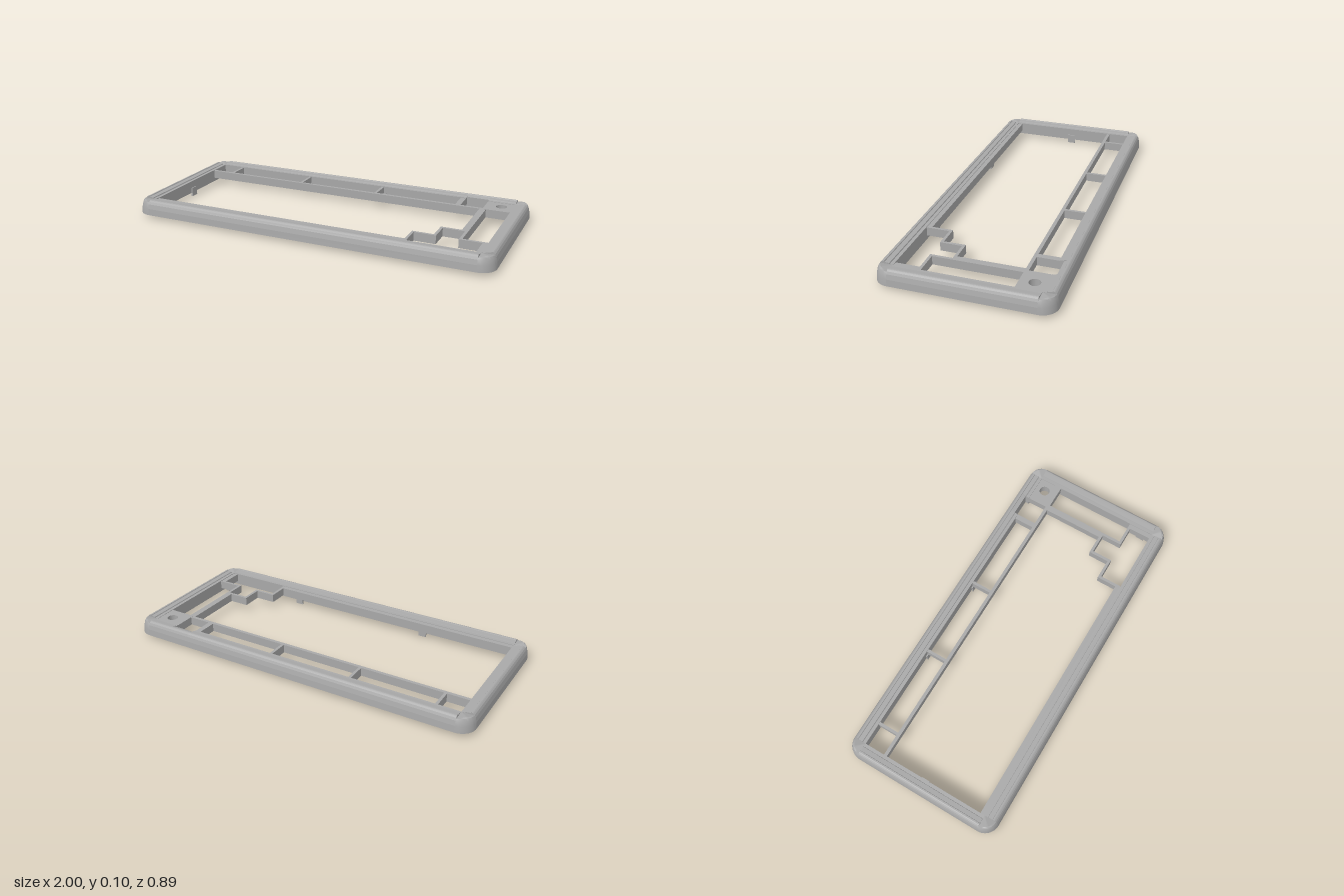
import * as THREE from 'three';
import { toCreasedNormals } from 'three/addons/utils/BufferGeometryUtils.js';

const HZ = 0.443, R = 0.08;            // half depth, rail width and corner radius
const CX = 1 - R, CZ = HZ - R;         // inner corners of the frame

// rail section: [inset from the outer face, height]
const wall = [[0, 0.02], [0.003, 0.055], [0.009, 0.08], [0.015, 0.092], [0.022, 0.098]];
const crown = [[0.026, 0.1], [0.034, 0.1], [0.036, 0.096], [0.06, 0.094], [0.062, 0.089]];

export function createModel() {
  const model = new THREE.Group();
  const grey = new THREE.MeshStandardMaterial({ color: 0xa8a8a8 });
  grey.name = 'case grey';

  const add = (name, geometry) => {
    const mesh = new THREE.Mesh(geometry, grey);
    mesh.name = name;
    model.add(mesh);
    return mesh;
  };
  const block = (name, x0, x1, y0, y1, z0, z1) =>
    add(name, new THREE.BoxGeometry(x1 - x0, y1 - y0, z1 - z0))
      .position.set((x0 + x1) / 2, (y0 + y1) / 2, (z0 + z1) / 2);

  // straight rails, extruded along their length
  const rail = (name, length, turn, x, z, width = R) => {
    const pts = [...wall, ...crown].filter(p => p[0] < width);
    pts.push([width, 0.089], [width, 0.02]);
    const shape = new THREE.Shape(pts.map(p => new THREE.Vector2(p[0], p[1])));
    const geo = new THREE.ExtrudeGeometry(shape, { depth: length, bevelEnabled: false });
    geo.translate(0, 0, -length / 2);
    const mesh = add(name, geo);
    mesh.rotation.y = turn;
    mesh.position.set(x, 0, z);
  };
  rail('leftRail', 2 * CZ, Math.PI, 1, 0);
  rail('rightRail', 2 * CZ, 0, -1, 0);
  rail('frontRail', 2 * CX, Math.PI / 2, 0, HZ);
  // back rail, thinner at the cable notch
  [[-CX, 0.645, R], [0.645, 0.77, 0.058], [0.77, CX, R]].forEach(([a, b, w]) =>
    rail('backRail', b - a, -Math.PI / 2, (a + b) / 2, -HZ, w));

  // rounded corners whose top dips towards both rails
  const dip = t => (t < 0.03 ? 0.1 : 0.1 - (t - 0.03) * 0.24);
  const cornerPts = [[R, 0.02], ...wall, [0.026, 0.1], [0.034, 0.1], [0.05, 0.1], [0.065, 0.1], [R, 0.1]]
    .map(p => new THREE.Vector2(R - p[0], p[1]));
  for (let i = 0; i < 4; i++) {
    const geo = new THREE.LatheGeometry(cornerPts, 12, i * Math.PI / 2, Math.PI / 2);
    const p = geo.attributes.position;
    for (let k = 0; k < p.count; k++) {
      p.setY(k, Math.min(p.getY(k), dip(R - Math.abs(p.getX(k))), dip(R - Math.abs(p.getZ(k)))));
    }
    const sx = i < 2 ? 1 : -1, sz = i === 0 || i === 3 ? 1 : -1;
    add('corner', toCreasedNormals(geo, 0.5)).position.set(sx * CX, 0, sz * CZ);
  }

  // inner ribs between the key openings: x0, x1, z0, z1
  const ribs = [
    [-0.925, 0.79, -0.25, -0.232],
    [-0.8, -0.785, -0.37, -0.24],
    [-0.33, -0.315, -0.37, -0.24],
    [0.14, 0.155, -0.37, -0.24],
    [0.615, 0.645, -0.37, -0.24],
    [0.755, 0.79, -0.24, 0.125],
    [0.645, 0.79, 0.11, 0.125],
    [0.645, 0.66, 0.11, 0.24],
    [0.775, 0.79, 0.11, 0.24],
    [0.53, 0.66, 0.225, 0.24],
    [0.53, 0.545, 0.225, 0.365],
    [0.775, 0.925, 0.225, 0.24],
    [0.893, 0.925, 0.23, 0.365],
    [-0.925, 0.545, 0.337, 0.365],
  ];
  ribs.forEach(([x0, x1, z0, z1]) => block('rib', x0, x1, 0.04, 0.086, z0, z1));

  // corner plate with the knob hole (shape y runs along -z)
  const plate = new THREE.Shape([[0.77, 0.232], [0.925, 0.232], [0.925, 0.37], [0.77, 0.37]]
    .map(p => new THREE.Vector2(...p)));
  plate.holes.push(new THREE.Path().absarc(0.857, 0.307, 0.029, 0, Math.PI * 2, true));
  const plateGeo = new THREE.ExtrudeGeometry(plate, { depth: 0.046, bevelEnabled: false, curveSegments: 24 });
  plateGeo.rotateX(-Math.PI / 2);
  add('knobPlate', plateGeo).position.y = 0.041;

  // clips hanging below the frame
  [[-0.395, 1], [0.425, 1], [-0.325, -1], [0.15, -1]].forEach(([x, s]) =>
    block('clip', x - 0.022, x + 0.022, 0, 0.05, s * 0.36 - 0.004, s * 0.36 + 0.004));
  block('sideClip', -0.922, -0.913, 0, 0.05, -0.023, 0.023);
  block('sideClip', 0.908, 0.921, 0, 0.05, 0.282, 0.328);
  // small round catches on the clips
  const catchGeo = new THREE.CylinderGeometry(0.008, 0.008, 0.006, 16);
  const boss = add('clipCatch', catchGeo);
  boss.rotation.z = Math.PI / 2;
  boss.position.set(0.922, 0.01, 0.305);
  [-0.395, 0.425].forEach(x => {
    const c = add('clipCatch', catchGeo);
    c.rotation.x = Math.PI / 2;
    c.position.set(x, 0.01, 0.365);
  });
  return model;
}
